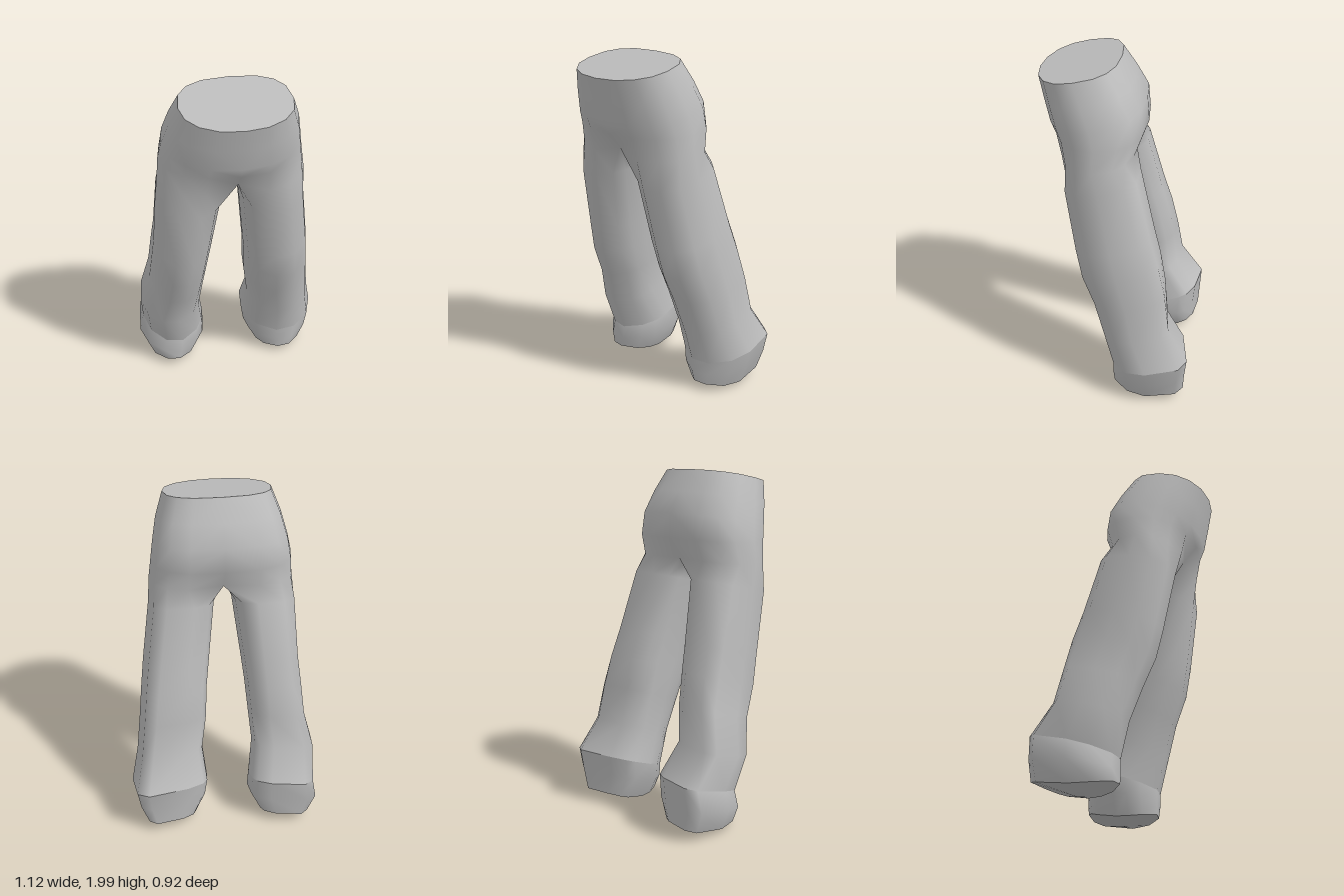
import * as THREE from 'three';
import { mergeVertices } from 'three/addons/utils/BufferGeometryUtils.js';

const MID = -0.02; // x of the centre seam
const ARC = 8; // steps from front seam round the outside to the back seam

// Sections: [yFront, zFront, yBack, zBack, xInner, xOuter]
const hips = {
  left: [
    [1.91, 0.47, 2.0, 0.015, MID, 0.285], [1.78, 0.44, 1.88, -0.06, MID, 0.33],
    [1.65, 0.41, 1.76, -0.125, MID, 0.355], [1.59, 0.38, 1.62, -0.135, MID, 0.37],
    [1.46, 0.35, 1.5, -0.09, MID, 0.385]],
  right: [
    [1.91, 0.47, 2.0, 0.015, MID, -0.325], [1.78, 0.44, 1.88, -0.06, MID, -0.375],
    [1.65, 0.41, 1.76, -0.125, MID, -0.41], [1.59, 0.38, 1.62, -0.135, MID, -0.43],
    [1.46, 0.35, 1.5, -0.09, MID, -0.44]],
};
// Each leg ends at the top edge of its cuff
const legs = {
  left: [
    [1.3, 0.31, 1.4, -0.115, 0.02, 0.395], [0.94, 0.25, 1.06, -0.2, 0.06, 0.445],
    [0.77, 0.215, 0.9, -0.245, 0.08, 0.465], [0.6, 0.145, 0.72, -0.28, 0.09, 0.485],
    [0.4, 0.085, 0.5, -0.305, 0.12, 0.51], [0.2, 0.03, 0.32, -0.41, 0.1, 0.555]],
  right: [
    [1.3, 0.305, 1.4, -0.115, -0.085, -0.45], [0.94, 0.24, 1.06, -0.205, -0.13, -0.465],
    [0.77, 0.205, 0.9, -0.25, -0.15, -0.48], [0.6, 0.135, 0.72, -0.285, -0.165, -0.495],
    [0.4, 0.07, 0.5, -0.31, -0.185, -0.55], [0.2, 0.015, 0.33, -0.44, -0.155, -0.535]],
};
const cuffs = {
  left: [[0.12, 0.03, 0.2, -0.4, 0.115, 0.535], [0.06, 0.025, 0.08, -0.4, 0.175, 0.485]],
  right: [[0.12, 0.02, 0.19, -0.43, -0.15, -0.56], [0.06, 0.02, 0.08, -0.43, -0.21, -0.51]],
};

const soft = (v, p) => Math.sign(v) * Math.abs(v) ** p;

// A point on a tilted section, rounder in front and squarer behind;
// turn swings the back edge outwards, sag lowers the middle
function sectionPoint([yf, zf, yb, zb, xi, xo], cx, angle, frontPower, backPower, turn = 0, sag = 0) {
  const power = Math.sin(angle) > 0 ? frontPower : backPower;
  const c = soft(Math.cos(angle), power), t = soft(Math.sin(angle), power);
  return new THREE.Vector3(
    cx + (xo - cx) * c,
    (yf + yb) / 2 + t * (yf - yb) / 2 - sag * (1 - t * t),
    (zf + zb) / 2 + t * (zf - zb) / 2 - turn * Math.abs(xo - cx) * c * Math.max(0, -t));
}

// Open half ring around the hips
function hipRing(row) {
  const ring = [];
  for (let k = 0; k <= ARC; k++) ring.push(sectionPoint(row, MID, Math.PI * (0.5 - k / ARC), 0.92, 0.75));
  ring[0].x = ring[ARC].x = MID;
  return ring;
}

// Half ring closed by the saddle between the legs
function crotchRing(row) {
  const ring = hipRing(row);
  ring[0].set(MID, 1.5, 0.3);
  ring[ARC].set(MID, 1.5, -0.06);
  for (const f of [0.25, 0.5, 0.75]) ring.push(new THREE.Vector3(MID, 1.485, -0.06 + 0.36 * f));
  return ring;
}

// Closed leg ring, starting at its inner front; level counts down the leg
function legRing(row, level, sag = 0) {
  const cx = (row[4] + row[5]) / 2;
  const angles = Array.from({ length: ARC + 1 }, (_, k) => 0.75 - 1.5 * k / ARC);
  return [...angles, -0.875, 1, 0.875].map((a) => sectionPoint(
    row, cx, Math.PI * a, 0.9 + 0.04 * level, 0.7 - 0.035 * level, 0.04 * level, sag));
}

function triangle(out, a, b, c, flip) {
  for (const p of flip ? [a, c, b] : [a, b, c]) out.push(p.x, p.y, p.z);
}

// Joins successive rings with quads
function skin(out, rings, flip, closed) {
  for (let i = 0; i < rings.length - 1; i++) {
    const a = rings[i], b = rings[i + 1];
    const n = closed ? a.length : ARC;
    for (let k = 0; k < n; k++) {
      const j = closed ? (k + 1) % n : k + 1;
      triangle(out, a[k], b[k], a[j], flip);
      triangle(out, a[j], b[k], b[j], flip);
    }
  }
}

// Fan over a closed ring, its centre lowered by drop
function cap(out, ring, flip, drop) {
  const centre = new THREE.Vector3(0, -drop, 0);
  ring.forEach((p) => centre.addScaledVector(p, 1 / ring.length));
  ring.forEach((p, k) => triangle(out, centre, p, ring[(k + 1) % ring.length], flip));
}

function makeMesh(name, positions, material) {
  let geometry = new THREE.BufferGeometry();
  geometry.setAttribute('position', new THREE.Float32BufferAttribute(positions, 3));
  geometry = mergeVertices(geometry, 1e-4);
  geometry.computeVertexNormals();
  const mesh = new THREE.Mesh(geometry, material);
  mesh.name = name;
  return mesh;
}

export function createModel() {
  const group = new THREE.Group();
  group.name = 'trousers';
  const cloth = new THREE.MeshStandardMaterial({ color: 0xbcbcbc, side: THREE.DoubleSide });
  cloth.name = 'grey cloth';

  const body = [], waist = {};
  for (const side of ['left', 'right']) {
    const flip = side === 'right';

    // Hips
    const hipRings = hips[side].map(hipRing);
    const crotch = crotchRing(hips[side][4]);
    hipRings[4] = crotch;
    skin(body, hipRings, flip, false);
    waist[side] = hipRings[0];

    // Leg
    const legRings = legs[side].map((row, i) => legRing(row, i));
    skin(body, [crotch, ...legRings], flip, true);

    // Flared cuff and its closed sole
    const cuffRings = cuffs[side].map((row, i) => legRing(row, 5, i * 0.035));
    const cuff = [], sole = [];
    skin(cuff, [legRings[5], ...cuffRings], flip, true);
    cap(sole, cuffRings[1], !flip, 0.045);
    group.add(makeMesh(side + 'Cuff', cuff, cloth), makeMesh(side + 'Sole', sole, cloth));
  }
  group.add(makeMesh('hipsAndLegs', body, cloth));

  // Closed waist opening
  const top = [];
  cap(top, [...waist.left, ...waist.right.slice(1, -1).reverse()], false, 0);
  group.add(makeMesh('waist', top, cloth));
  return group;
}
